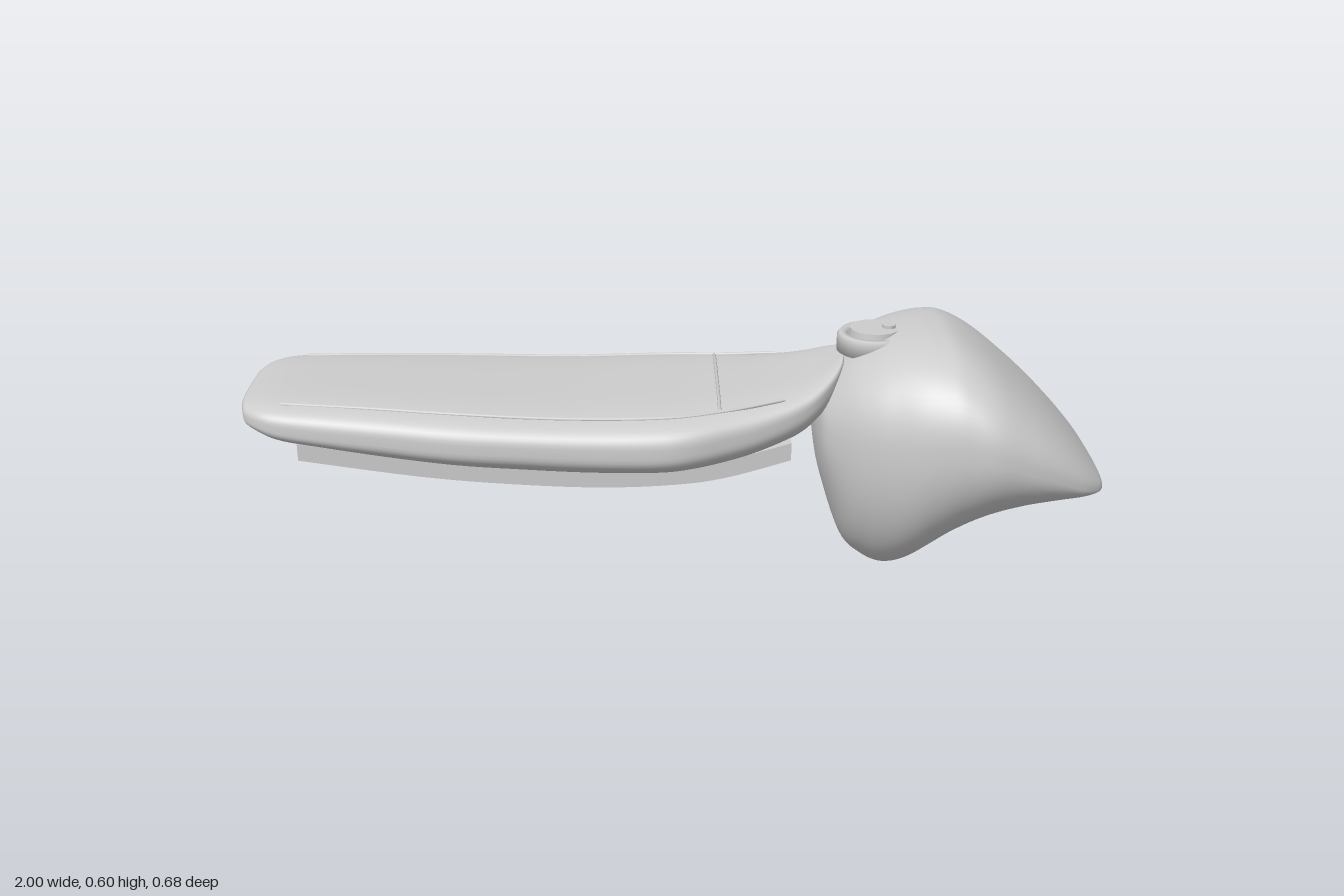
import * as THREE from 'three';

// Stations along x: [x, top y, bottom y, half width, y of widest line]
const TANK = [
  [0.328, 0.41, 0.36, 0.05, 0.385],
  [0.334, 0.44, 0.30, 0.10, 0.375],
  [0.35, 0.47, 0.22, 0.15, 0.36],
  [0.40, 0.525, 0.07, 0.21, 0.35],
  [0.45, 0.557, 0.018, 0.25, 0.35],
  [0.50, 0.58, 0.0, 0.278, 0.35],
  [0.55, 0.592, 0.016, 0.302, 0.36],
  [0.60, 0.597, 0.055, 0.318, 0.37],
  [0.65, 0.59, 0.098, 0.33, 0.375],
  [0.72, 0.55, 0.145, 0.339, 0.37],
  [0.80, 0.485, 0.18, 0.324, 0.34],
  [0.87, 0.42, 0.20, 0.298, 0.31],
  [0.93, 0.357, 0.217, 0.264, 0.28],
  [0.97, 0.31, 0.229, 0.225, 0.262],
  [0.99, 0.283, 0.238, 0.19, 0.255],
  [1.0, 0.262, 0.246, 0.14, 0.253],
];
const SEAT = [
  [-1.0, 0.455, 0.41, 0.12, 0.43],
  [-0.985, 0.461, 0.395, 0.165, 0.425],
  [-0.95, 0.467, 0.378, 0.197, 0.42],
  [-0.90, 0.47, 0.36, 0.216, 0.41],
  [-0.80, 0.469, 0.345, 0.231, 0.40],
  [-0.65, 0.464, 0.322, 0.25, 0.39],
  [-0.50, 0.458, 0.306, 0.267, 0.38],
  [-0.35, 0.452, 0.295, 0.274, 0.375],
  [-0.20, 0.45, 0.288, 0.28, 0.37],
  [-0.05, 0.453, 0.288, 0.285, 0.37],
  [0.03, 0.456, 0.293, 0.277, 0.375],
  [0.12, 0.462, 0.304, 0.248, 0.385],
  [0.20, 0.468, 0.322, 0.22, 0.40],
  [0.28, 0.48, 0.35, 0.187, 0.425],
  [0.33, 0.495, 0.385, 0.155, 0.45],
  [0.37, 0.515, 0.43, 0.11, 0.48],
  [0.39, 0.527, 0.465, 0.07, 0.50],
  [0.397, 0.53, 0.49, 0.035, 0.51],
];
const SEAT_TOP = 3.6;

const spow = (v, p) => Math.sign(v) * Math.pow(Math.abs(v), p);

// Smooth closed body lofted through egg-shaped cross-sections
function loft(stations, nTop, nBottom, rings = 90, sides = 72) {
  const a = new THREE.CatmullRomCurve3(
    stations.map(s => new THREE.Vector3(s[0], s[1], s[2])), false, 'catmullrom', 0.5);
  const b = new THREE.CatmullRomCurve3(
    stations.map(s => new THREE.Vector3(s[0], s[3], s[4])), false, 'catmullrom', 0.5);
  const pos = [], idx = [];
  for (let i = 0; i <= rings; i++) {
    const { x, y: top, z: bottom } = a.getPoint(i / rings);
    const { y: half, z: mid } = b.getPoint(i / rings);
    for (let j = 0; j < sides; j++) {
      const t = (j / sides) * Math.PI * 2, up = Math.sin(t) >= 0;
      const p = 2 / (up ? nTop : nBottom);
      pos.push(x, mid + spow(Math.sin(t), p) * (up ? top - mid : mid - bottom),
        spow(Math.cos(t), p) * half);
    }
  }
  for (let i = 0; i < rings; i++) {
    for (let j = 0; j < sides; j++) {
      const k = (j + 1) % sides, r = i * sides, s = r + sides;
      idx.push(r + j, s + j, s + k, r + j, s + k, r + k);
    }
  }
  // end caps
  const first = stations[0], last = stations[stations.length - 1];
  const c = pos.length / 3, e = rings * sides;
  pos.push(first[0], first[4], 0, last[0], last[4], 0);
  for (let j = 0; j < sides; j++) {
    const k = (j + 1) % sides;
    idx.push(c, j, k, c + 1, e + k, e + j);
  }
  const g = new THREE.BufferGeometry();
  g.setAttribute('position', new THREE.Float32BufferAttribute(pos, 3));
  g.setIndex(idx);
  g.computeVertexNormals();
  return g;
}

// Point on the seat's upper surface
function onSeat(x, z) {
  let i = 0;
  while (i < SEAT.length - 2 && SEAT[i + 1][0] < x) i++;
  const t = (x - SEAT[i][0]) / (SEAT[i + 1][0] - SEAT[i][0]);
  const [, top, , half, mid] = SEAT[i].map((v, k) => THREE.MathUtils.lerp(v, SEAT[i + 1][k], t));
  const q = Math.max(0, 1 - Math.pow(Math.abs(z) / half, SEAT_TOP));
  return new THREE.Vector3(x, mid + (top - mid) * Math.pow(q, 1 / SEAT_TOP), z);
}

export function createModel() {
  const group = new THREE.Group();
  const grey = new THREE.MeshStandardMaterial({ color: 0xcccccc });
  grey.name = 'light grey';
  const add = (name, geometry, x = 0, y = 0, z = 0) => {
    const mesh = new THREE.Mesh(geometry, grey);
    mesh.name = name;
    mesh.position.set(x, y, z);
    group.add(mesh);
    return mesh;
  };

  add('fuelTank', loft(TANK, 2.6, 2));
  add('seatCushion', loft(SEAT, SEAT_TOP, 2.3));

  // Seat pan: curved side profile extruded across the seat
  const pan = new THREE.Shape();
  pan.moveTo(-0.865, 0.375);
  pan.lineTo(-0.865, 0.335);
  pan.splineThru([[-0.6, 0.295], [-0.4, 0.275], [-0.18, 0.264], [0, 0.27], [0.12, 0.288], [0.265, 0.33]]
    .map(p => new THREE.Vector2(...p)));
  pan.lineTo(0.265, 0.372);
  pan.splineThru([[0.1, 0.33], [-0.15, 0.305], [-0.5, 0.325], [-0.865, 0.375]]
    .map(p => new THREE.Vector2(...p)));
  add('seatPan', new THREE.ExtrudeGeometry(pan, { depth: 0.39, bevelEnabled: false, curveSegments: 10 }),
    0, 0, -0.195);

  // Piping along both sides of the seat
  const seam = [[-0.9, 0.165], [-0.7, 0.183], [-0.5, 0.2], [-0.25, 0.212], [0, 0.215], [0.12, 0.193], [0.25, 0.162]];
  for (const side of [1, -1]) {
    const curve = new THREE.CatmullRomCurve3(seam.map(([x, z]) => onSeat(x, z * side)));
    add(side > 0 ? 'pipingFront' : 'pipingBack', new THREE.TubeGeometry(curve, 60, 0.005, 6));
  }

  // Cross seam
  const cross = [];
  for (let i = 0; i <= 12; i++) cross.push(onSeat(0.1, -0.19 + (0.38 * i) / 12));
  add('crossSeam', new THREE.TubeGeometry(new THREE.CatmullRomCurve3(cross), 30, 0.004, 6));

  // Filler cap
  const ring = [[0.062, 0], [0.088, 0], [0.088, 0.036], [0.082, 0.044], [0.07, 0.044], [0.066, 0.036], [0.062, 0.03]];
  add('fillerRing', new THREE.LatheGeometry(ring.map(p => new THREE.Vector2(...p)), 48), 0.47, 0.532, 0);
  add('fillerCap', new THREE.CylinderGeometry(0.058, 0.064, 0.05, 40), 0.47, 0.561, 0);
  add('capLock', new THREE.CylinderGeometry(0.016, 0.016, 0.01, 20), 0.503, 0.588, 0);

  return group;
}
